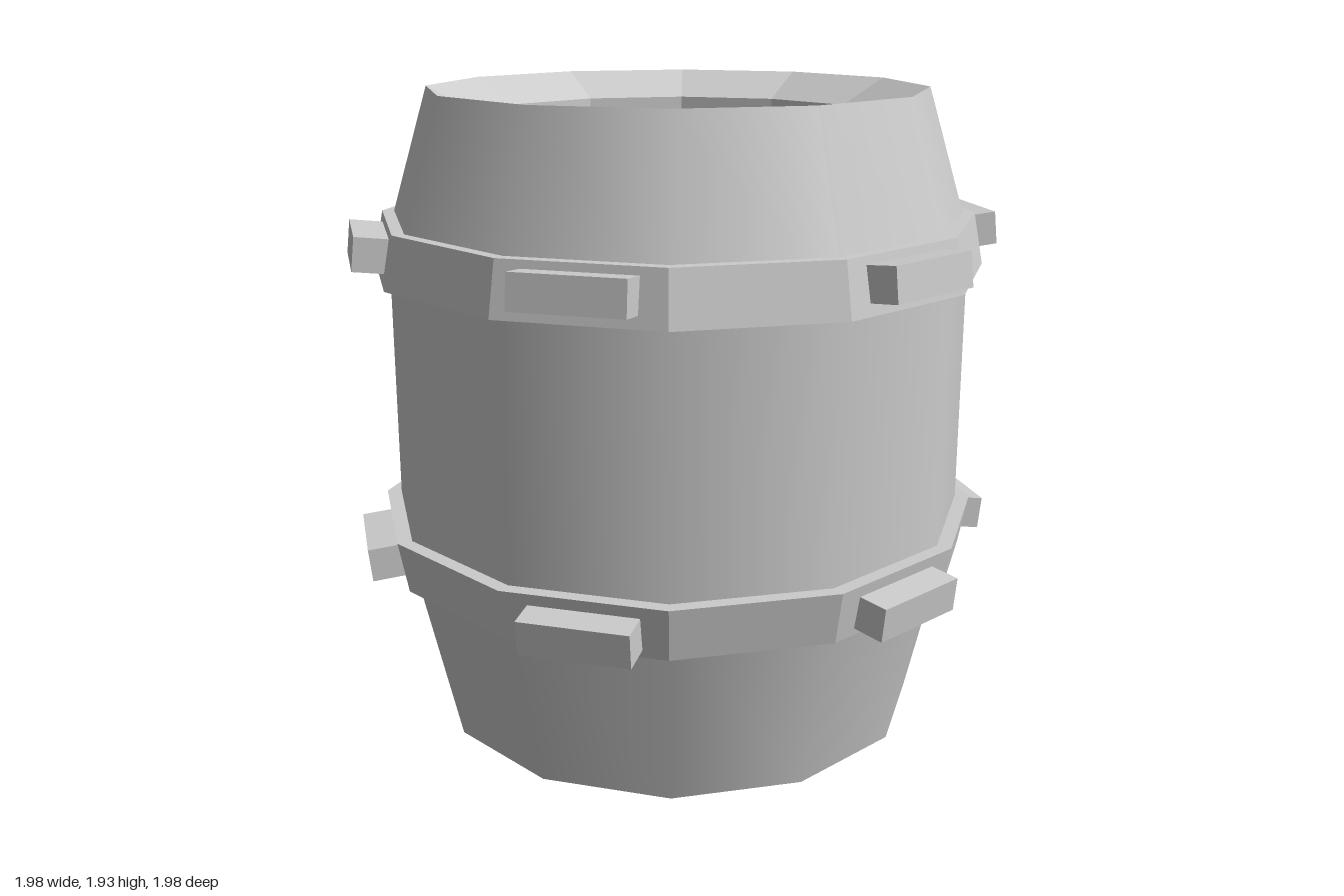
import * as THREE from 'three';

const SIDES = 12;
const smooth = new THREE.MeshStandardMaterial({ color: 0xcccccc });
const flat = new THREE.MeshStandardMaterial({ color: 0xcccccc, flatShading: true });

// Twelve-sided turned part from [radius, height] pairs, outside running upwards
function turned(name, profile, material) {
  const points = profile.map(([r, y]) => new THREE.Vector2(r, y));
  const mesh = new THREE.Mesh(new THREE.LatheGeometry(points, SIDES), material);
  mesh.name = name;
  return mesh;
}

// Hoop with studs on every second side; lean = 1 narrows upwards, -1 narrows downwards
function hoop(name, y, lean) {
  const group = new THREE.Group();
  group.name = name;
  const half = 0.078;
  const bottom = lean > 0 ? 0.93 : 0.9;
  const top = lean > 0 ? 0.9 : 0.93;
  group.add(turned('band', [
    [0.85, -half], [bottom, -half], [top, half], [0.85, half],
  ], flat));

  const studGeometry = new THREE.BoxGeometry(0.32, 0.1, 0.15);
  for (let i = 0; i < 6; i++) {
    const pivot = new THREE.Group();
    pivot.name = 'studMount';
    pivot.rotation.y = -Math.PI / 12 + i * Math.PI / 3;
    const stud = new THREE.Mesh(studGeometry, flat);
    stud.name = 'stud';
    stud.position.set(0, 0.008 * lean, 0.902);
    stud.rotation.x = -0.11 * lean;
    pivot.add(stud);
    group.add(pivot);
  }
  group.position.y = y;
  return group;
}

export function createModel() {
  const barrel = new THREE.Group();
  barrel.name = 'barrel';

  // Outer shell: tapered ends and a straight middle
  barrel.add(turned('base', [[0, 0], [0.75, 0]], flat));
  barrel.add(turned('lowerTaper', [[0.75, 0], [0.885, 0.58]], smooth));
  barrel.add(turned('middle', [[0.885, 0.58], [0.885, 1.49]], smooth));
  barrel.add(turned('upperTaper', [[0.885, 1.49], [0.75, 1.935]], smooth));

  // Inward sloping rim, inner wall and floor
  barrel.add(turned('interior', [
    [0.75, 1.935], [0.6, 1.855], [0.6, 0.15], [0, 0.15],
  ], flat));

  barrel.add(hoop('lowerHoop', 0.578, -1));
  barrel.add(hoop('upperHoop', 1.483, 1));
  return barrel;
}
